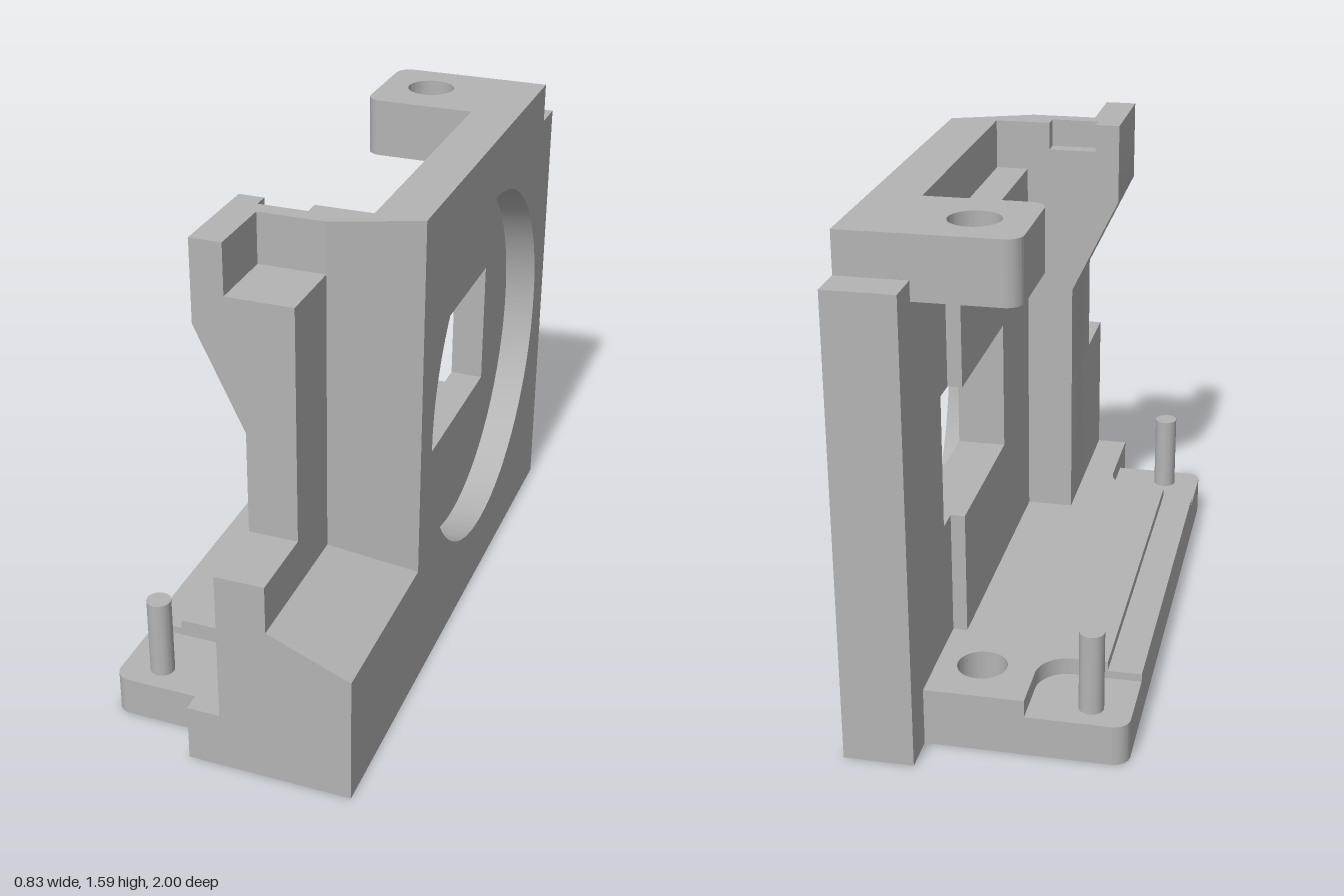
import * as THREE from 'three';
import { toCreasedNormals } from 'three/addons/utils/BufferGeometryUtils.js';

const grey = new THREE.MeshStandardMaterial({ color: 0xb4b4b4 });
grey.name = 'machined grey';

const polygon = (points) => new THREE.Shape(points.map(([a, b]) => new THREE.Vector2(a, b)));
const circle = (a, b, r) => new THREE.Path().absarc(a, b, r, 0, Math.PI * 2, true);

// Polygon whose corners may carry a third value, the fillet radius
function rounded(corners) {
  const s = new THREE.Shape();
  corners.forEach(([x, y, r = 0], i) => {
    const c = new THREE.Vector2(x, y);
    const towards = (j) => {
      const [px, py] = corners[(j + corners.length) % corners.length];
      return new THREE.Vector2(px, py).sub(c).normalize().multiplyScalar(r).add(c);
    };
    const a = towards(i - 1), b = towards(i + 1);
    if (i === 0) s.moveTo(a.x, a.y);
    else s.lineTo(a.x, a.y);
    if (r > 0) {
      const k = 0.5523;
      const h1 = a.clone().lerp(c, k), h2 = b.clone().lerp(c, k);
      s.bezierCurveTo(h1.x, h1.y, h2.x, h2.y, b.x, b.y);
    }
  });
  s.closePath();
  return s;
}

export function createModel() {
  const model = new THREE.Group();

  function add(name, geometry) {
    const mesh = new THREE.Mesh(toCreasedNormals(geometry, 0.5), grey);
    mesh.name = name;
    model.add(mesh);
  }
  const extrude = (shape, depth) =>
    new THREE.ExtrudeGeometry(shape, { depth, bevelEnabled: false, curveSegments: 32 });
  // Shape in (x, y), running along z
  const alongZ = (name, shape, z0, z1) =>
    add(name, extrude(shape, z1 - z0).translate(0, 0, z0));
  // Shape in (x, z), running along y
  const alongY = (name, shape, y0, y1) =>
    add(name, extrude(shape, y1 - y0).rotateX(Math.PI / 2).translate(0, y1, 0));
  // Shape in (-z, y), running along x
  const alongX = (name, shape, x0, x1) =>
    add(name, extrude(shape, x1 - x0).rotateY(Math.PI / 2).translate(x0, 0, 0));

  const top = 1.59, ledge = 1.43, floor = 0.185;
  const inner = 0.155, outer = 0.415;
  const front = 0.41; // inner face of the pillar
  const bore = () => circle(0.06, -0.71, 0.077);

  // Side wall, in layers from the inside out
  const windowHole = () => new THREE.Path(
    [[-0.02, 0.585], [-0.02, 1.01], [0.6, 1.01], [0.6, 0.585]].map(([a, b]) => new THREE.Vector2(a, b)));
  const wallOutline = [[-front, 0], [1, 0], [1, 1.46], [0.88, 1.46], [0.88, top]];

  alongX('wallInnerPad', polygon([
    [-front, 0.1], [0.52, 0.1], [0.52, 0.585], [-0.02, 0.585],
    [-0.02, 1.01], [0.52, 1.01], [0.52, ledge], [-front, ledge],
  ]), inner, 0.2);

  const ledgeLayer = polygon([...wallOutline, [0.52, top], [0.52, ledge], [-front, ledge]]);
  ledgeLayer.holes.push(windowHole());
  alongX('wallLedge', ledgeLayer, 0.2, 0.26);

  const coreLayer = polygon([...wallOutline, [-front, top]]);
  coreLayer.holes.push(windowHole());
  alongX('wallCore', coreLayer, 0.26, 0.31);

  const recessLayer = polygon([...wallOutline, [-front, top]]);
  recessLayer.holes.push(circle(0.29, 0.797, 0.593));
  alongX('wallRecessRing', recessLayer, 0.31, outer);

  // Base slab with lowered corner pads and a lowered edge strip
  const slab = rounded([
    [-0.415, -0.88, 0.05], [0.2, -0.88], [0.2, 1], [-0.105, 1], [-0.105, 0.88], [-0.415, 0.88, 0.05],
  ]);
  slab.holes.push(bore());
  alongY('baseSlab', slab, 0, 0.13);

  const step = (name, edge, y0, y1) => {
    const s = rounded([
      [edge, -0.62], [-0.105, -0.62, 0.1], [-0.105, -0.88], [0.2, -0.88],
      [0.2, 1], [-0.105, 1], [-0.105, 0.61, 0.1], [edge, 0.61],
    ]);
    s.holes.push(bore());
    alongY(name, s, y0, y1);
  };
  step('edgeStrip', -0.415, 0.13, 0.155);
  step('baseFloor', -0.31, 0.155, floor);

  // Locating pins
  for (const z of [-0.79, 0.79]) {
    add('pin', new THREE.CylinderGeometry(0.038, 0.038, 0.27, 40).translate(-0.29, 0.255, z));
  }

  // Upper arm with its hole
  const arm = rounded([
    [-0.105, -0.88, 0.05], [0.2, -0.88], [0.2, -0.52], [-0.105, -0.52, 0.05],
  ]);
  arm.holes.push(bore());
  alongY('upperArm', arm, 1.4, top);
  // Arm web over the inner pad's end
  // Front foot with a sloping shoulder
  alongZ('frontFoot', polygon([
    [0, 0], [outer, 0], [outer, 0.42], [inner, 0.525], [inner, 0.68], [0, 0.68],
  ]), front, 1);

  // Slanted corner between wall and pillar
  alongY('cornerWedge', polygon([[inner, front], [outer, front], [inner, 0.515]]), 0.3, top);

  // Front pillar: notched inner slice, plain slice, stepped front slice
  const flank = [[-0.155, top], [-0.155, 1.33], [0, 1.01], [0, 0.1], [inner, 0.1]];
  alongZ('pillarNotchedSlice', polygon([
    ...flank, [inner, top], [0.08, top], [0.08, 1.5], [-0.075, 1.5], [-0.075, top],
  ]), front, 0.46);
  alongZ('pillarSlice', polygon([...flank, [inner, top]]), 0.46, 0.515);
  alongZ('pillarFront', polygon([
    ...flank, [inner, ledge], [-0.055, ledge], [-0.055, top],
  ]), 0.515, 0.75);

  return model;
}
